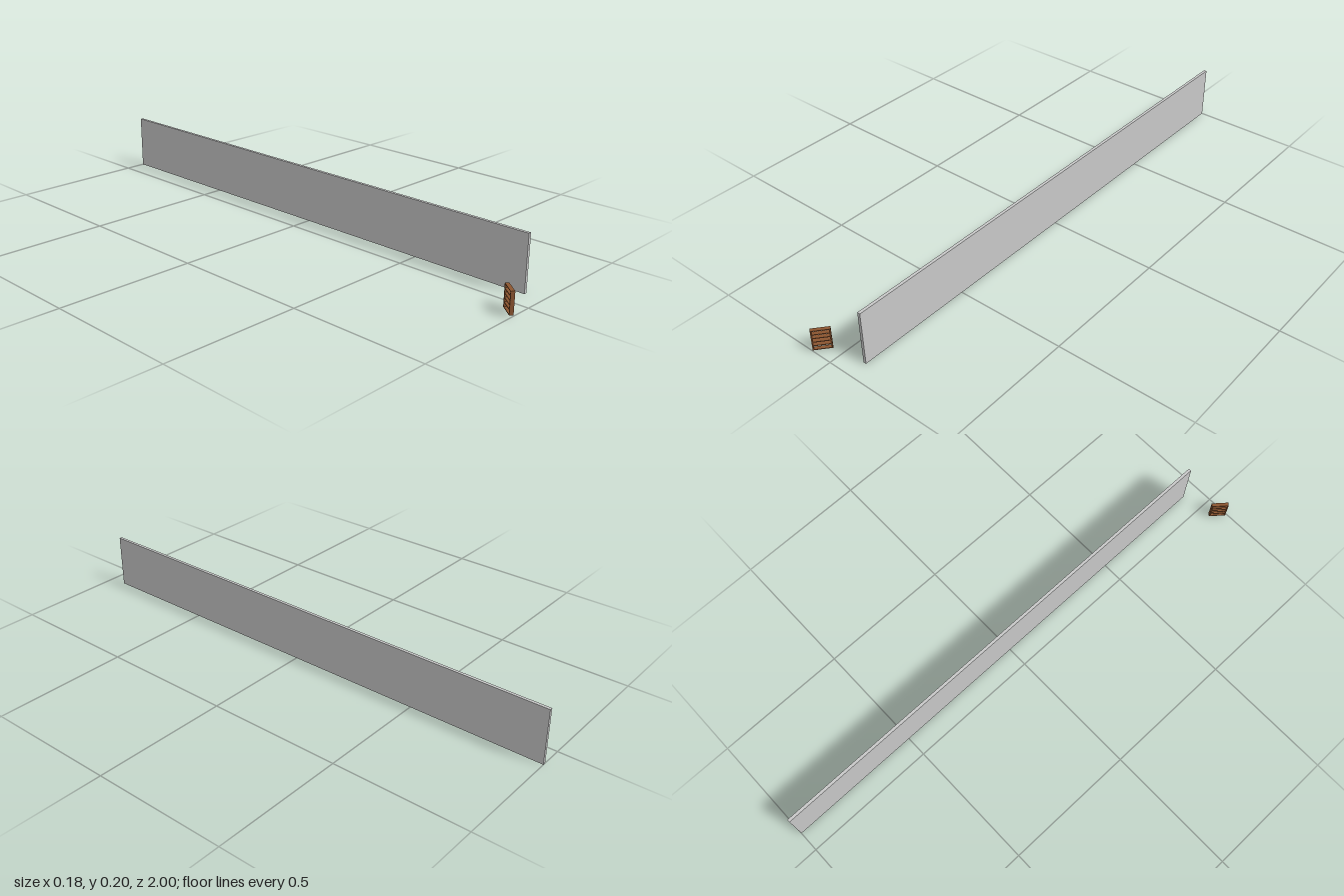
import * as THREE from 'three';

export function createModel() {
  const model = new THREE.Group();
  const concrete = new THREE.MeshStandardMaterial({ name: 'wall grey', color: 0xc8c8c8 });
  const wood = new THREE.MeshStandardMaterial({ name: 'wood brown', color: 0x8b5530 });

  const box = (parent, name, size, pos, material) => {
    const mesh = new THREE.Mesh(new THREE.BoxGeometry(...size), material);
    mesh.name = name;
    mesh.position.set(...pos);
    parent.add(mesh);
  };

  // Long thin wall
  box(model, 'wall', [0.011, 0.2025, 1.934], [0.0845, 0.10125, -0.033], concrete);

  // Small open shelf unit, turned towards the wall
  const shelf = new THREE.Group();
  shelf.name = 'shelfUnit';
  const width = 0.0635, depth = 0.0137, side = 0.004, bottom = 0.0027, top = 0.0813;
  for (const s of [-1, 1]) {
    box(shelf, s < 0 ? 'rightSide' : 'leftSide', [side, top - bottom, depth],
      [s * (width - side) / 2, (top + bottom) / 2, 0], wood);
  }

  // Boards between the two sides; the lowest gap is slightly taller
  const board = 0.0025;
  for (let i = 0; i < 6; i++) {
    const y = i === 5 ? bottom + board / 2 : top - board / 2 - i * 0.0149;
    box(shelf, 'board' + (i + 1), [width - 2 * side, board, depth], [0, y, 0], wood);
  }
  shelf.position.set(-0.0643, 0, 0.9713);
  shelf.rotation.y = THREE.MathUtils.degToRad(50);
  model.add(shelf);

  return model;
}
